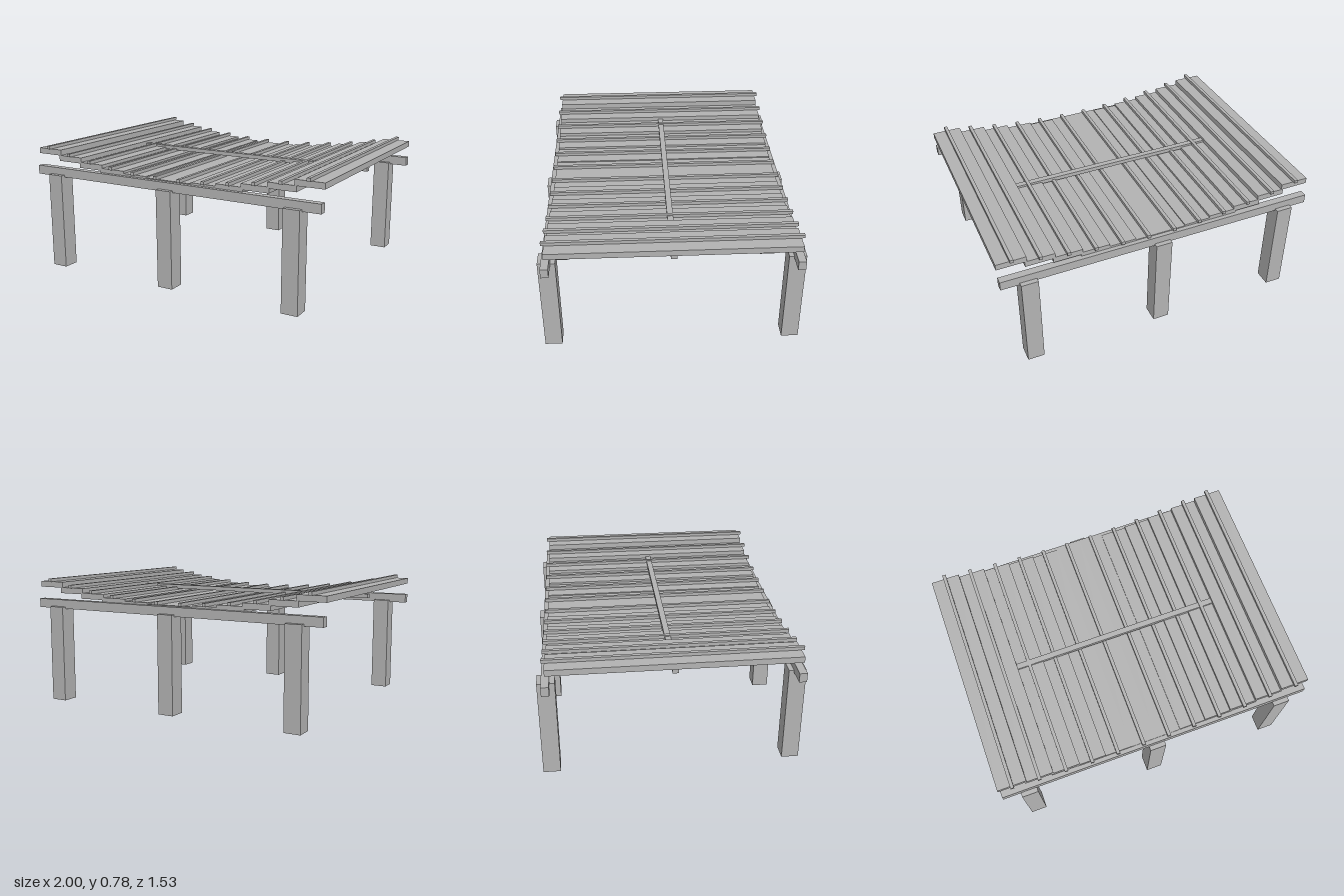
import * as THREE from 'three';

export function createModel() {
  const model = new THREE.Group();
  model.name = 'slattedPlatform';
  const grey = new THREE.MeshStandardMaterial({ color: 0xb3b3b3 });
  grey.name = 'plain grey';

  // Box given by its size, its centre in x and z, and its bottom height
  const addBox = (name, w, h, d, x, bottom, z) => {
    const mesh = new THREE.Mesh(new THREE.BoxGeometry(w, h, d), grey);
    mesh.name = name;
    mesh.position.set(x, bottom + h / 2, z);
    model.add(mesh);
  };

  // Three posts and one long beam along each side
  for (const z of [-0.715, 0.715]) {
    for (const x of [-0.83, 0, 0.83]) addBox('post', 0.102, 0.605, 0.102, x, 0, z);
    addBox('sideBeam', 1.985, 0.056, 0.045, 0, 0.593, z);
  }

  // Twelve planks in a shallow curved dip, each with a thin batten on top
  const thickness = 0.036;
  for (let i = 0; i < 12; i++) {
    const x = (i - 5.5) * 0.1656;
    const top = 0.654 + 0.127 * x * x;
    addBox('plank', 0.178, thickness, 1.424, x, top - thickness, 0);
    addBox('batten', 0.021, 0.02, 1.46, x, top, 0);
  }

  // Straight cross bar through the middle
  addBox('crossBar', 1.95, 0.025, 0.035, 0, 0.685, 0);

  return model;
}
